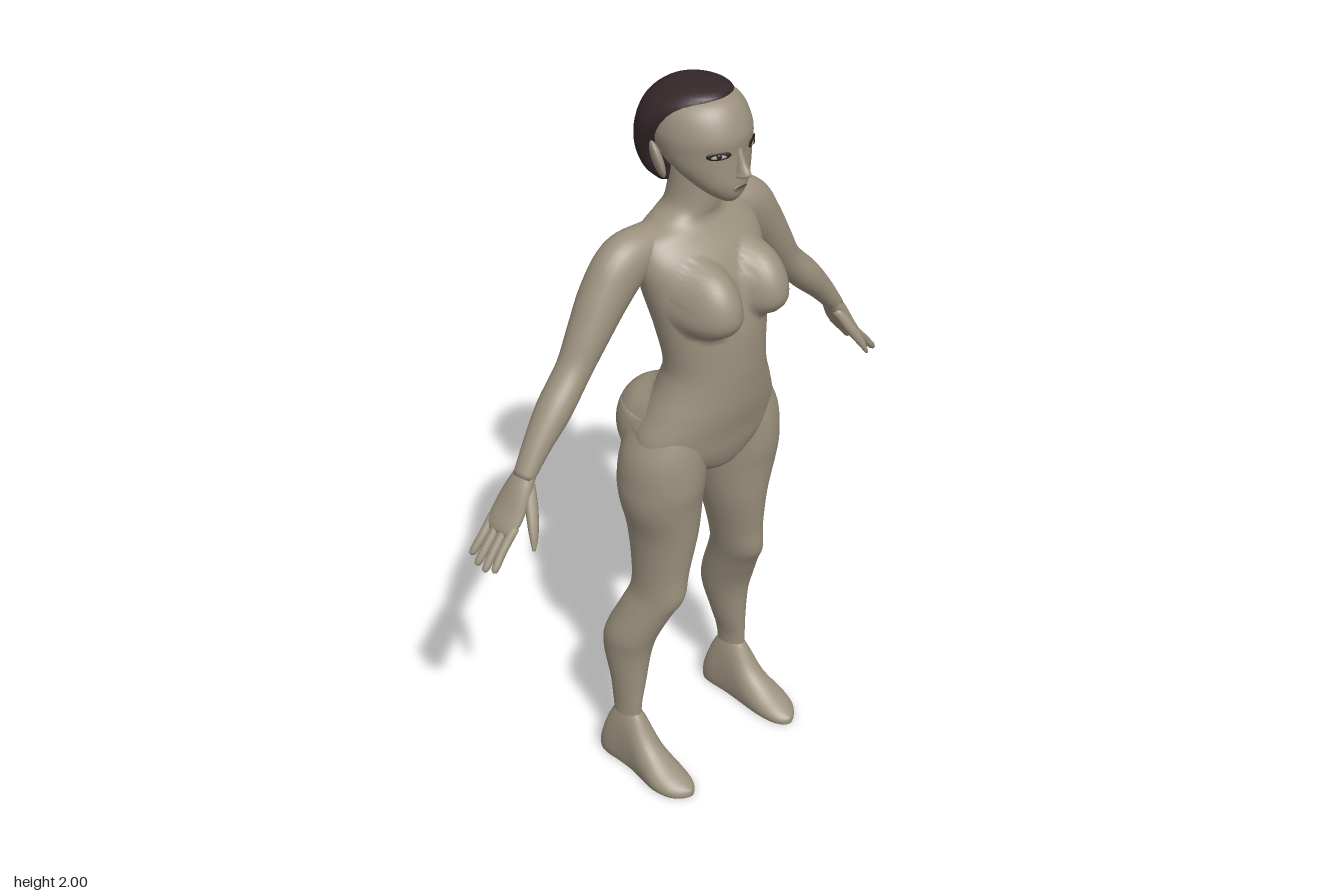
import * as THREE from 'three';

const material = (name, color) => Object.assign(new THREE.MeshStandardMaterial({ color }), { name });

// Smooth interpolation of numeric rows (Catmull-Rom on every column)
function smoothRows(rows, steps) {
  const out = [], n = rows.length;
  for (let i = 0; i < n - 1; i++) {
    const [a, b, c, d] = [rows[Math.max(i - 1, 0)], rows[i], rows[i + 1], rows[Math.min(i + 2, n - 1)]];
    for (let s = 0; s < steps; s++) {
      const t = s / steps;
      out.push(b.map((v, k) => v + 0.5 * t * (c[k] - a[k] +
        t * (2 * a[k] - 5 * v + 4 * c[k] - d[k] + t * (3 * (v - c[k]) + d[k] - a[k])))));
    }
  }
  out.push(rows[n - 1]);
  return out;
}

// Closed skin over elliptical rings { c, u, v }, with u x v pointing along the loft
function skinRings(rings, sides = 28) {
  const pos = [], idx = [], last = (rings.length - 1) * sides;
  for (const { c, u, v } of rings) {
    for (let j = 0; j < sides; j++) {
      const a = (j / sides) * Math.PI * 2;
      const p = c.clone().addScaledVector(u, Math.cos(a)).addScaledVector(v, Math.sin(a));
      pos.push(p.x, p.y, p.z);
    }
  }
  const start = rings.length * sides;
  pos.push(...rings[0].c.toArray(), ...rings[rings.length - 1].c.toArray());
  for (let j = 0; j < sides; j++) {
    const k = (j + 1) % sides;
    for (let i = 0; i < last; i += sides) {
      idx.push(i + j, i + k, i + sides + j, i + k, i + sides + k, i + sides + j);
    }
    idx.push(start, k, j, start + 1, last + j, last + k);
  }
  const geo = new THREE.BufferGeometry();
  geo.setAttribute('position', new THREE.Float32BufferAttribute(pos, 3));
  geo.setIndex(idx);
  geo.computeVertexNormals();
  return geo;
}

// Upright loft; rows are [y, centreX, halfWidth, frontZ, backZ]
function upright(rows, steps = 4, sides = 28) {
  return skinRings(smoothRows(rows, steps).map(([y, x, w, f, b]) => ({
    c: new THREE.Vector3(x, y, (f + b) / 2),
    u: new THREE.Vector3(w, 0, 0),
    v: new THREE.Vector3(0, 0, -(f - b) / 2),
  })), sides);
}

// Limb along a path; rows are [x, y, z, thickness, breadth along z]
function limb(rows, steps = 4, sides = 20) {
  const r = smoothRows(rows, steps);
  const at = (i) => new THREE.Vector3(...r[Math.min(Math.max(i, 0), r.length - 1)].slice(0, 3));
  return skinRings(r.map((q, i) => {
    const d = at(i + 1).sub(at(i - 1)).normalize();
    const u = new THREE.Vector3(0, 0, 1).cross(d).normalize();
    const v = d.clone().cross(u);
    return { c: at(i), u: u.multiplyScalar(q[3]), v: v.multiplyScalar(q[4]) };
  }), sides);
}

// Swell a surface out to a mirrored pair of rounded forms on its front (1) or back (-1)
function swell(geo, side, [cx, cy, cz], [rx, up, down, rz]) {
  const p = geo.attributes.position;
  for (let i = 0; i < p.count; i++) {
    const z = p.getZ(i) * side;
    const dx = (Math.abs(p.getX(i)) - cx) / rx;
    const rise = p.getY(i) - cy;
    const q = 1 - dx * dx - (rise / (rise > 0 ? up : down)) ** 2;
    if (z > 0 && q > 0) p.setZ(i, side * Math.max(z, cz + rz * Math.sqrt(q)));
  }
  geo.computeVertexNormals();
  return geo;
}
const swellSeat = (geo) => swell(geo, -1, [0.088, 1.085, 0.05], [0.112, 0.135, 0.125, 0.135]);

function ellipsoid(radii, centre, rot = [0, 0, 0]) {
  const geo = new THREE.SphereGeometry(1, 24, 16).scale(...radii);
  geo.rotateX(rot[0]).rotateY(rot[1]).rotateZ(rot[2]);
  return geo.translate(...centre);
}

function mirrored(source) {
  const geo = source.clone().scale(-1, 1, 1);
  const ix = geo.index.array;
  for (let i = 0; i < ix.length; i += 3) [ix[i], ix[i + 1]] = [ix[i + 1], ix[i]];
  geo.computeVertexNormals();
  return geo;
}

export function createModel() {
  const model = new THREE.Group();
  model.name = 'figure';
  const skin = material('skin', 0x9c917e);
  const hair = material('hair', 0x35272a);
  const dark = material('lashes', 0x29221f);
  const white = material('eyeWhite', 0xaaa59a);
  const lip = material('lips', 0x85766a);

  const add = (name, geo, mat) => {
    const mesh = new THREE.Mesh(geo, mat);
    mesh.name = name;
    model.add(mesh);
  };
  const pair = (name, geo, mat) => {
    add(name + 'Left', geo, mat);
    add(name + 'Right', mirrored(geo), mat);
  };

  // Trunk from crotch to neck, swelled at the chest and seat
  const torso = upright([
    [0.955, 0, 0.02, 0.04, -0.05], [0.985, 0, 0.1, 0.085, -0.09], [1.04, 0, 0.2, 0.108, -0.12],
    [1.1, 0, 0.217, 0.12, -0.125], [1.17, 0, 0.188, 0.135, -0.11], [1.24, 0, 0.155, 0.142, -0.085],
    [1.3, 0, 0.142, 0.145, -0.075], [1.4, 0, 0.155, 0.142, -0.1], [1.5, 0, 0.175, 0.12, -0.125],
    [1.58, 0, 0.185, 0.085, -0.13], [1.635, 0, 0.165, 0.042, -0.125], [1.665, 0, 0.105, 0.025, -0.118],
    [1.7, 0, 0.065, 0.028, -0.105], [1.79, 0, 0.055, 0.03, -0.09],
  ], 7, 96);
  swell(torso, 1, [0.08, 1.468, 0.06], [0.079, 0.125, 0.07, 0.125]);
  add('torso', swellSeat(torso), skin);

  // Legs and feet
  pair('leg', swellSeat(upright([
    [0.1, 0.205, 0.028, -0.05, -0.13], [0.2, 0.205, 0.028, -0.045, -0.14], [0.28, 0.197, 0.04, -0.04, -0.152],
    [0.38, 0.19, 0.056, -0.03, -0.175], [0.45, 0.185, 0.064, -0.01, -0.165], [0.54, 0.165, 0.058, 0.03, -0.128],
    [0.6, 0.15, 0.055, 0.06, -0.108], [0.68, 0.14, 0.062, 0.065, -0.11], [0.8, 0.13, 0.082, 0.08, -0.125],
    [0.9, 0.137, 0.103, 0.09, -0.13], [0.97, 0.137, 0.107, 0.1, -0.135], [1.06, 0.13, 0.105, 0.098, -0.12],
    [1.15, 0.115, 0.075, 0.085, -0.08],
  ], 5, 56)), skin);
  // Foot rows are [z, centreX, halfWidth, topY], with the sole pressed flat
  const foot = skinRings(smoothRows([
    [-0.182, 0.205, 0.012, 0.04], [-0.17, 0.205, 0.034, 0.085], [-0.14, 0.205, 0.042, 0.16],
    [-0.095, 0.205, 0.041, 0.21], [-0.05, 0.205, 0.042, 0.185], [0, 0.207, 0.048, 0.11],
    [0.055, 0.21, 0.054, 0.068], [0.105, 0.208, 0.046, 0.042], [0.135, 0.203, 0.026, 0.026],
    [0.147, 0.2, 0.006, 0.018],
  ], 3).map(([z, x, w, top]) => ({
    c: new THREE.Vector3(x, top * 0.3, z),
    u: new THREE.Vector3(w, 0, 0),
    v: new THREE.Vector3(0, top * 0.7, 0),
  })));
  const fp = foot.attributes.position;
  for (let i = 0; i < fp.count; i++) fp.setY(i, Math.max(fp.getY(i), 0));
  foot.computeVertexNormals();
  pair('foot', foot, skin);

  // Arms, starting well inside the shoulders, and hands
  pair('arm', limb([
    [0.05, 1.625, -0.06, 0.03, 0.04], [0.13, 1.614, -0.06, 0.05, 0.052], [0.205, 1.588, -0.065, 0.07, 0.06],
    [0.265, 1.52, -0.07, 0.062, 0.06], [0.32, 1.44, -0.07, 0.05, 0.053], [0.37, 1.365, -0.07, 0.042, 0.045],
    [0.44, 1.29, -0.065, 0.042, 0.045], [0.5, 1.225, -0.06, 0.033, 0.036], [0.555, 1.155, -0.055, 0.023, 0.028],
  ], 5, 28), skin);
  pair('palm', limb([
    [0.535, 1.18, -0.056, 0.02, 0.025], [0.565, 1.135, -0.058, 0.023, 0.038], [0.595, 1.085, -0.062, 0.02, 0.048],
    [0.625, 1.045, -0.064, 0.015, 0.047], [0.635, 1.032, -0.064, 0.006, 0.038],
  ]), skin);
  [[-0.102, 0.86], [-0.076, 0.97], [-0.05, 1], [-0.026, 0.92]].forEach(([z, len], i) => {
    const tip = -0.065 + (z + 0.065) * 1.12;
    pair('finger' + (i + 1), limb([
      [0.615, 1.055, z, 0.011, 0.013], [0.615 + 0.045 * len, 1.055 - 0.05 * len, z, 0.011, 0.012],
      [0.615 + 0.077 * len, 1.055 - 0.088 * len, tip, 0.009, 0.01],
      [0.615 + 0.084 * len, 1.055 - 0.096 * len, tip, 0.002, 0.002],
    ], 3, 10), skin);
  });
  pair('thumb', limb([
    [0.55, 1.14, -0.04, 0.014, 0.014], [0.572, 1.09, -0.01, 0.016, 0.015],
    [0.592, 1.045, 0.015, 0.012, 0.011], [0.605, 1.01, 0.028, 0.004, 0.004],
  ], 3, 10), skin);

  // Head, ears and nose
  add('head', upright([
    [1.733, 0, 0.018, 0.096, 0.06], [1.75, 0, 0.043, 0.11, 0.02], [1.78, 0, 0.072, 0.117, -0.03],
    [1.82, 0, 0.098, 0.115, -0.09], [1.86, 0, 0.11, 0.114, -0.125], [1.9, 0, 0.114, 0.116, -0.14],
    [1.95, 0, 0.1, 0.096, -0.13], [1.978, 0, 0.066, 0.065, -0.1], [1.988, 0, 0.01, 0, -0.04],
  ], 4, 40), skin);
  pair('ear', ellipsoid([0.012, 0.048, 0.026], [0.122, 1.838, -0.03], [-0.25, 0.45, -0.3]), skin);
  add('nose', upright([
    [1.8, 0, 0.008, 0.125, 0.1], [1.806, 0, 0.017, 0.138, 0.1], [1.815, 0, 0.014, 0.146, 0.1],
    [1.84, 0, 0.009, 0.129, 0.1], [1.875, 0, 0.008, 0.114, 0.1],
  ]), skin);

  // Cropped hair over the back and crown
  add('hair', upright([
    [1.745, 0, 0.06, -0.06, -0.115], [1.78, 0, 0.09, -0.055, -0.145], [1.84, 0, 0.112, -0.045, -0.16],
    [1.9, 0, 0.12, 0.005, -0.162], [1.95, 0, 0.109, 0.05, -0.145], [1.983, 0, 0.076, 0.06, -0.108],
    [1.997, 0, 0.04, 0.025, -0.07], [2, 0, 0.004, -0.015, -0.03],
  ], 4, 40), hair);

  // Eyes and mouth
  const yaw = [0, 0.54, 0];
  pair('lashes', ellipsoid([0.03, 0.011, 0.004], [0.055, 1.866, 0.0985], yaw), dark);
  pair('eyeWhite', ellipsoid([0.02, 0.006, 0.004], [0.056, 1.864, 0.1], yaw), white);
  pair('iris', ellipsoid([0.007, 0.007, 0.004], [0.0567, 1.865, 0.1015], yaw), dark);
  add('lips', ellipsoid([0.022, 0.009, 0.0045], [0, 1.775, 0.1155]), lip);
  add('mouthLine', ellipsoid([0.018, 0.0018, 0.004], [0, 1.776, 0.1175]), dark);

  return model;
}
